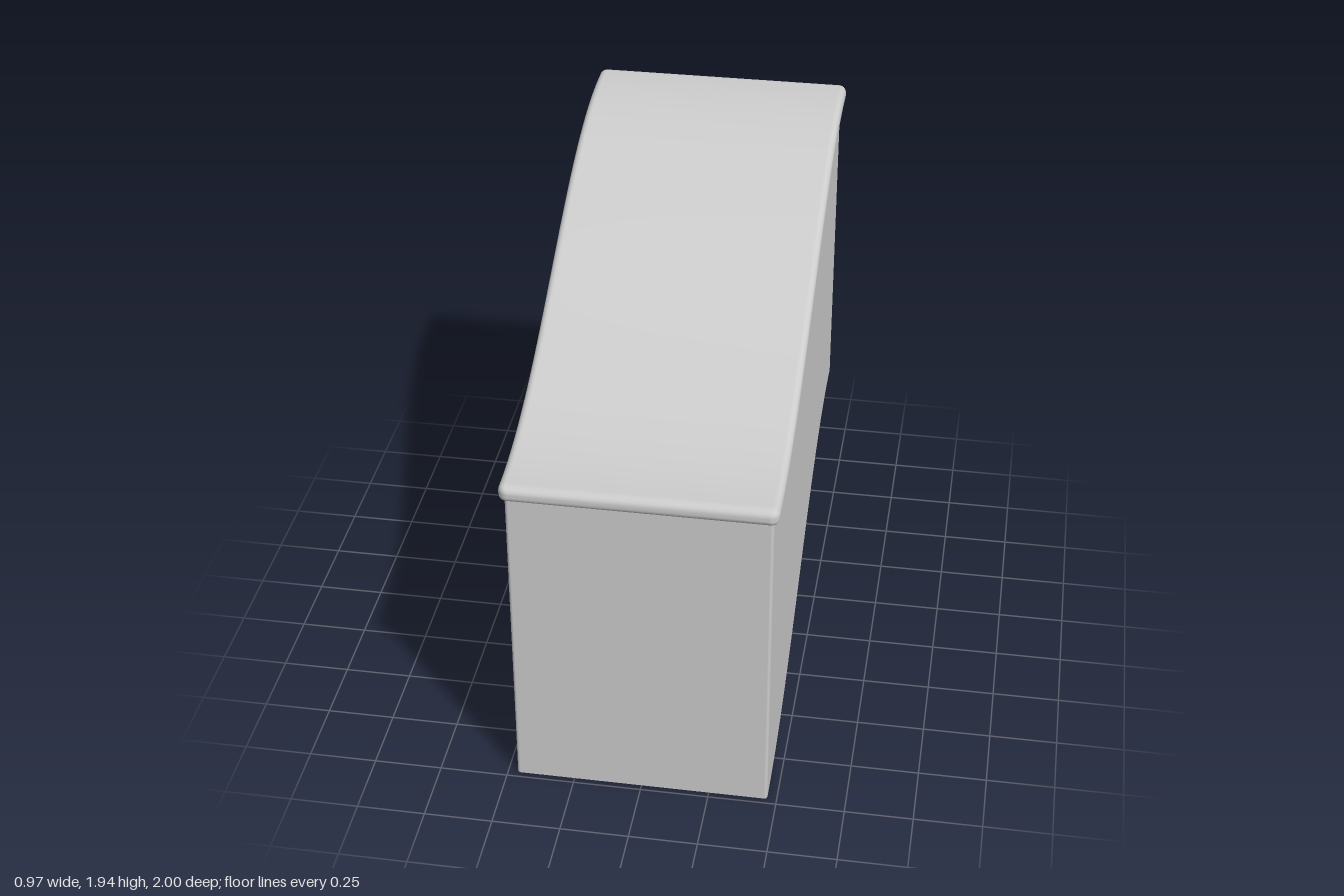
import * as THREE from 'three';

const RISE = 0.645, WALL_H = 1.245, LID_Y = 1.2625;

// S-shaped rise from the low front to the high back, level at the very back
function rise(z) {
  const t = THREE.MathUtils.clamp((0.975 - z) / 1.9, 0, 1);
  return RISE * (1 - Math.cos(Math.PI * t)) / 2;
}

// Counter-clockwise rounded rectangle; its two v-direction sides get sideSegs divisions
function roundedRect(hu, hv, r, arcSegs, sideSegs) {
  const pts = [];
  [[1, 1], [-1, 1], [-1, -1], [1, -1]].forEach(([su, sv], q) => {
    for (let i = 0; i <= arcSegs; i++) {
      const a = (q + i / arcSegs) * Math.PI / 2;
      pts.push([su * (hu - r) + r * Math.cos(a), sv * (hv - r) + r * Math.sin(a)]);
    }
    if (q % 2 === 1) {
      for (let i = 1; i < sideSegs; i++) {
        pts.push([su * hu, sv * (hv - r) * (1 - 2 * i / sideSegs)]);
      }
    }
  });
  return pts;
}

// Skin a list of equal-length closed rings, with optional flat ends
function loft(rings, capped) {
  const n = rings[0].length, pos = rings.flat(2), index = [];
  for (let i = 0; i < rings.length - 1; i++) {
    for (let j = 0; j < n; j++) {
      const k = (j + 1) % n;
      const a = i * n + j, b = i * n + k, c = b + n, d = a + n;
      index.push(a, b, c, a, c, d);
    }
  }
  if (capped) {
    [0, rings.length - 1].forEach((row) => {
      const centre = pos.length / 3;
      const mid = [0, 1, 2].map((k) => rings[row].reduce((s, p) => s + p[k], 0) / n);
      pos.push(...mid);
      for (let j = 0; j < n; j++) {
        const a = row * n + j, b = row * n + (j + 1) % n;
        if (row === 0) index.push(centre, b, a);
        else index.push(centre, a, b);
      }
    });
  }
  const geo = new THREE.BufferGeometry();
  geo.setAttribute('position', new THREE.Float32BufferAttribute(pos, 3));
  geo.setIndex(index);
  geo.computeVertexNormals();
  return geo;
}

// Open-bottomed thin wall whose lower and upper edges follow the rise
function wallGeometry() {
  const outline = roundedRect(0.465, 0.977, 0.012, 4, 72);
  const row = (h) => outline.map(([u, v]) => [u, rise(-v) + h, -v]);
  return loft([row(0), row(WALL_H)], false);
}

// Curved slab with rounded edges and rounded plan corners
function lidGeometry() {
  const HX = 0.485, HY = 0.0325, R = 0.035, r = 0.026, STEPS = 6, SPANS = 80;
  const stations = [];
  for (let i = 0; i <= STEPS; i++) {
    const a = i / STEPS * Math.PI / 2;
    stations.push([-1 + R * (1 - Math.sin(a)), Math.cos(a), Math.sin(a)]);
  }
  // ends run from the flat face (quarter turn) out to the full section
  const ends = stations.map(([z, c, s]) => [-1 + R * (1 - c), 1 - s, Math.max(s, 0.04)]);
  const middle = [];
  for (let i = 1; i < SPANS; i++) middle.push([(-1 + R) * (1 - 2 * i / SPANS), 0, 1]);
  const front = ends.map(([z, inset, s]) => [-z, inset, s]).reverse();
  const rings = [...ends, ...middle, ...front].map(([z, inset, s]) =>
    roundedRect(HX - R * inset, HY - r * inset, r * s, 6, 1)
      .map(([x, y]) => [x, y + LID_Y + rise(z), z]));
  return loft(rings, true);
}

export function createModel() {
  const group = new THREE.Group();
  const material = new THREE.MeshStandardMaterial({ color: 0xcccccc, side: THREE.DoubleSide });

  const wall = new THREE.Mesh(wallGeometry(), material);
  wall.name = 'wall';

  const lid = new THREE.Mesh(lidGeometry(), material);
  lid.name = 'curvedCap';

  group.add(wall, lid);
  return group;
}
